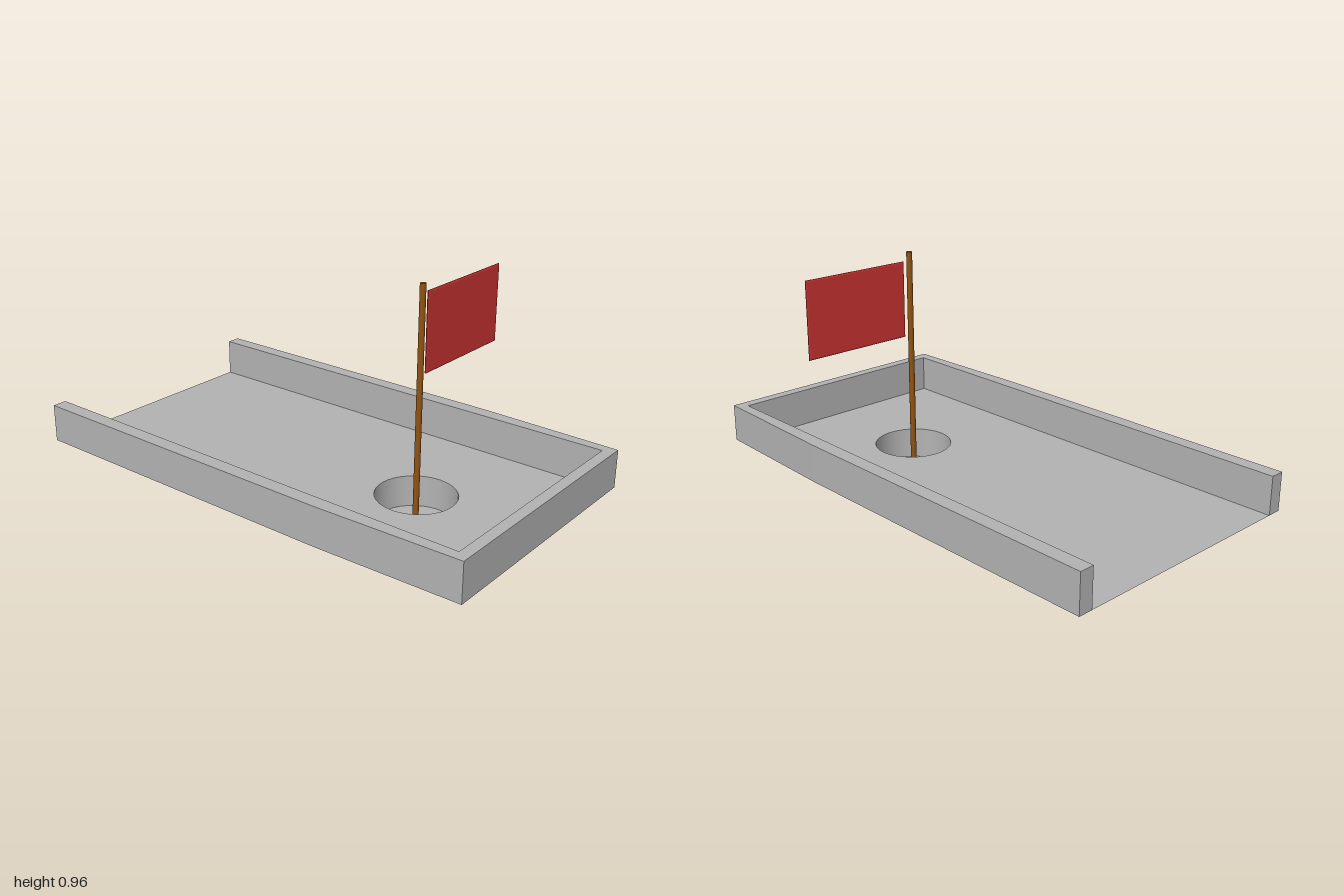
import * as THREE from 'three';

export function createModel() {
  const model = new THREE.Group();
  const grey = new THREE.MeshStandardMaterial({ color: 0xb3b3b3 });
  grey.name = 'grey';
  grey.side = THREE.DoubleSide;
  const brown = new THREE.MeshStandardMaterial({ color: 0x8f5212 });
  brown.name = 'brown';
  const red = new THREE.MeshStandardMaterial({ color: 0xcc3333 });
  red.name = 'red';

  const add = (name, geometry, material, x = 0, y = 0, z = 0) => {
    const mesh = new THREE.Mesh(geometry, material);
    mesh.name = name;
    mesh.position.set(x, y, z);
    model.add(mesh);
  };
  // Plan shape from [x, z] points, to be laid flat afterwards
  const plan = (points) => new THREE.Shape(points.map(([x, z]) => new THREE.Vector2(x, -z)));

  const floorY = 0.13, wallHeight = 0.157, cupRadius = 0.16, cupZ = 0.45;
  const innerX = 0.49, innerZ = 0.955;

  // U-shaped border wall, open at the back and tapering towards the front
  const border = plan([
    [-0.55, -1], [-0.55, 0.4], [-0.532, 1], [0.532, 1], [0.55, 0.4], [0.55, -1],
    [innerX, -1], [innerX, innerZ], [-innerX, innerZ], [-innerX, -1],
  ]);
  const wall = new THREE.ExtrudeGeometry(border, { depth: wallHeight, bevelEnabled: false });
  add('borderWall', wall.rotateX(-Math.PI / 2), grey, 0, floorY);

  // Thin floor with the round hole
  const floor = plan([[-innerX, -1], [-innerX, innerZ], [innerX, innerZ], [innerX, -1]]);
  floor.holes.push(new THREE.Path().absarc(0, -cupZ, cupRadius, 0, Math.PI * 2, true));
  add('floor', new THREE.ShapeGeometry(floor, 16).rotateX(-Math.PI / 2), grey, 0, floorY);

  // Cup hanging below the floor
  add('cupSide', new THREE.CylinderGeometry(cupRadius, cupRadius, floorY, 32, 1, true), grey, 0, floorY / 2, cupZ);
  add('cupBase', new THREE.CircleGeometry(cupRadius, 32).rotateX(Math.PI / 2), grey, 0, 0, cupZ);

  // Pole standing in the cup
  add('pole', new THREE.CylinderGeometry(0.012, 0.012, 0.959, 16), brown, 0, 0.4805, cupZ);

  // Thin flag with softened edges
  const bevel = 0.008, w = 0.476 / 2 - bevel, h = 0.315 / 2 - bevel;
  const flagShape = new THREE.Shape([[-w, -h], [w, -h], [w, h], [-w, h]].map((p) => new THREE.Vector2(...p)));
  const flag = new THREE.ExtrudeGeometry(flagShape, {
    depth: 0.003, bevelSize: bevel, bevelThickness: 0.003, bevelSegments: 3,
  });
  add('flag', flag.center(), red, 0.27, 0.767, cupZ);

  return model;
}
